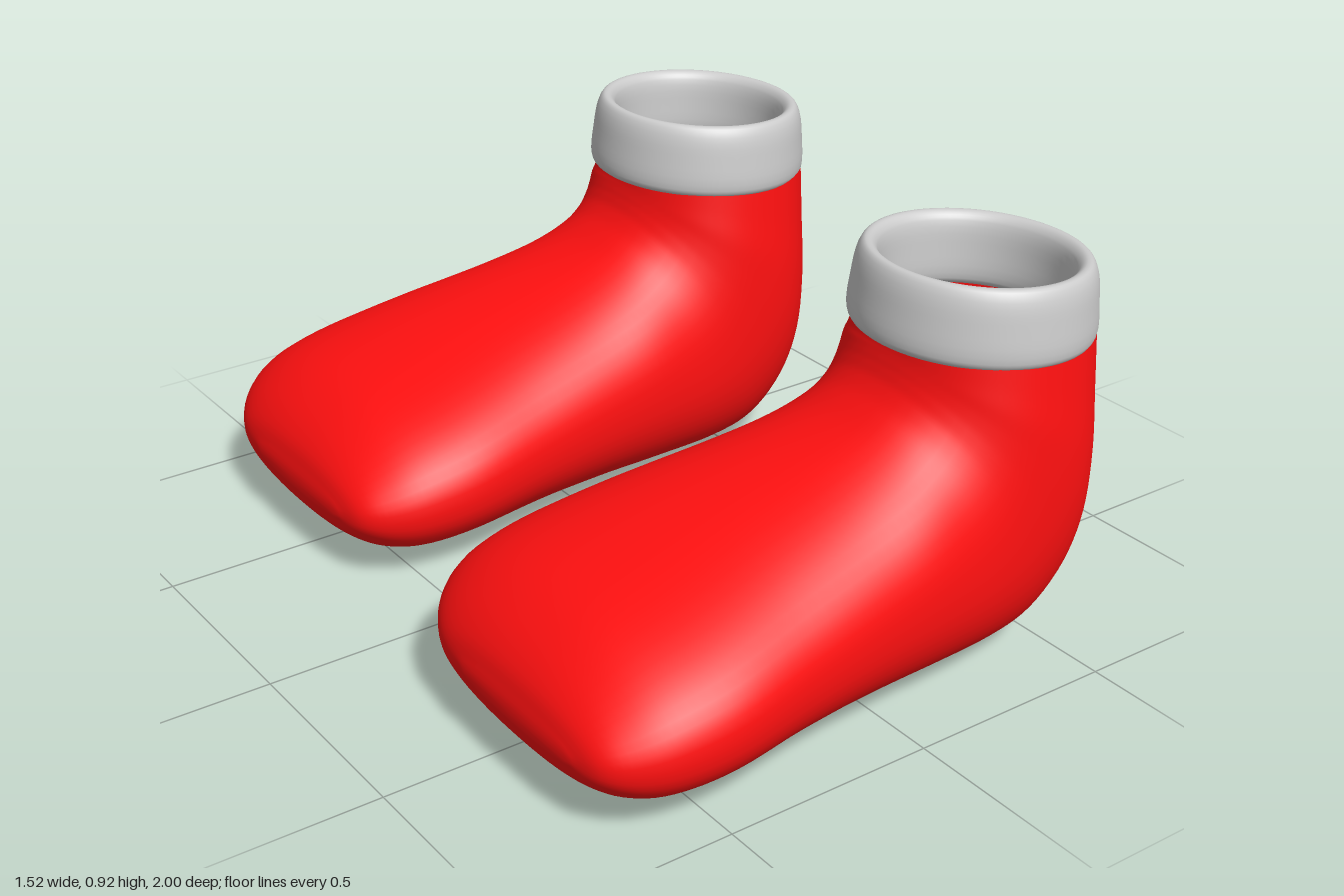
import * as THREE from 'three';

const red = new THREE.MeshStandardMaterial({ color: 0xff1010, side: THREE.DoubleSide });
const grey = new THREE.MeshStandardMaterial({ color: 0xcccccc });

// Cross-sections from toe to ankle: sole x, y, upper x, y, then z range
const SECTIONS = [
  [-0.757, 0.14, -0.757, 0.19, 0.42, 0.8],
  [-0.735, 0.09, -0.735, 0.25, 0.29, 0.89],
  [-0.67, 0.035, -0.68, 0.31, 0.19, 0.945],
  [-0.58, 0.005, -0.59, 0.365, 0.135, 0.98],
  [-0.45, 0, -0.45, 0.41, 0.125, 0.993],
  [-0.25, 0, -0.25, 0.465, 0.165, 0.968],
  [-0.05, 0, -0.07, 0.52, 0.23, 0.952],
  [0.15, 0, 0.04, 0.57, 0.285, 0.945],
  [0.35, 0, 0.105, 0.62, 0.325, 0.932],
  [0.48, 0.03, 0.137, 0.66, 0.34, 0.928],
  [0.58, 0.12, 0.15, 0.69, 0.345, 0.928],
  [0.635, 0.25, 0.156, 0.71, 0.348, 0.928],
  [0.65, 0.42, 0.16, 0.725, 0.355, 0.925],
  [0.645, 0.6, 0.163, 0.74, 0.375, 0.915],
  [0.64, 0.76, 0.168, 0.78, 0.39, 0.905],
];

// Smooth loft through the cross-sections, closed at the toe and open at the ankle
function sockGeometry(around = 56, along = 70) {
  const curve = (a, b) =>
    new THREE.CatmullRomCurve3(SECTIONS.map((s) => new THREE.Vector3(s[a], s[b], 0)), false, 'catmullrom', 0.5);
  const sole = curve(0, 1), upper = curve(2, 3), width = curve(4, 5);
  const pos = [], index = [];
  const soft = (v) => Math.sign(v) * Math.abs(v) ** 0.88;
  for (let i = 0; i <= along; i++) {
    const t = i / along;
    const b = sole.getPoint(t), u = upper.getPoint(t), w = width.getPoint(t);
    for (let j = 0; j < around; j++) {
      const a = (j / around) * Math.PI * 2;
      const k = (soft(Math.sin(a)) + 1) / 2;
      const p = b.clone().lerp(u, k);
      pos.push(p.x, p.y, (w.x + w.y) / 2 + ((w.y - w.x) / 2) * soft(Math.cos(a)));
      if (i < along) {
        const n = (j + 1) % around, r = i * around, s = r + around;
        index.push(r + j, s + j, r + n, r + n, s + j, s + n);
      }
    }
  }
  // Toe tip
  const tip = pos.length / 3;
  pos.push(-0.762, 0.165, 0.61);
  for (let j = 0; j < around; j++) index.push(tip, j, (j + 1) % around);
  const g = new THREE.BufferGeometry();
  g.setAttribute('position', new THREE.Float32BufferAttribute(pos, 3));
  g.setIndex(index);
  g.computeVertexNormals();
  return g;
}

// Thick rounded band, its profile running up the outside and down the inside
function cuffGeometry() {
  const profile = new THREE.CatmullRomCurve3(
    [
      [0.215, -0.085], [0.25, -0.086], [0.26, -0.07], [0.257, 0], [0.248, 0.06],
      [0.235, 0.083], [0.22, 0.083], [0.206, 0.065], [0.2, 0], [0.202, -0.07],
    ].map(([x, y]) => new THREE.Vector3(x, y, 0)), true);
  const pts = profile.getPoints(40).map((p) => new THREE.Vector2(p.x, p.y));
  return new THREE.LatheGeometry(pts, 64);
}

export function createModel() {
  const model = new THREE.Group();
  model.name = 'socks';
  const bodyGeo = sockGeometry(), cuffGeo = cuffGeometry();

  // The same sock twice, the second one shifted back and slightly sideways
  for (const [name, x, z] of [['frontSock', 0, 0], ['backSock', 0.1, -1.125]]) {
    const sock = new THREE.Group();
    sock.name = name;
    const body = new THREE.Mesh(bodyGeo, red);
    body.name = 'sockBody';
    const cuff = new THREE.Mesh(cuffGeo, grey);
    cuff.name = 'cuff';
    cuff.position.set(0.4, 0.822, 0.643);
    cuff.rotation.z = -0.05;
    cuff.scale.z = 1.055;
    sock.add(body, cuff);
    sock.position.set(x, 0, z);
    model.add(sock);
  }
  return model;
}
